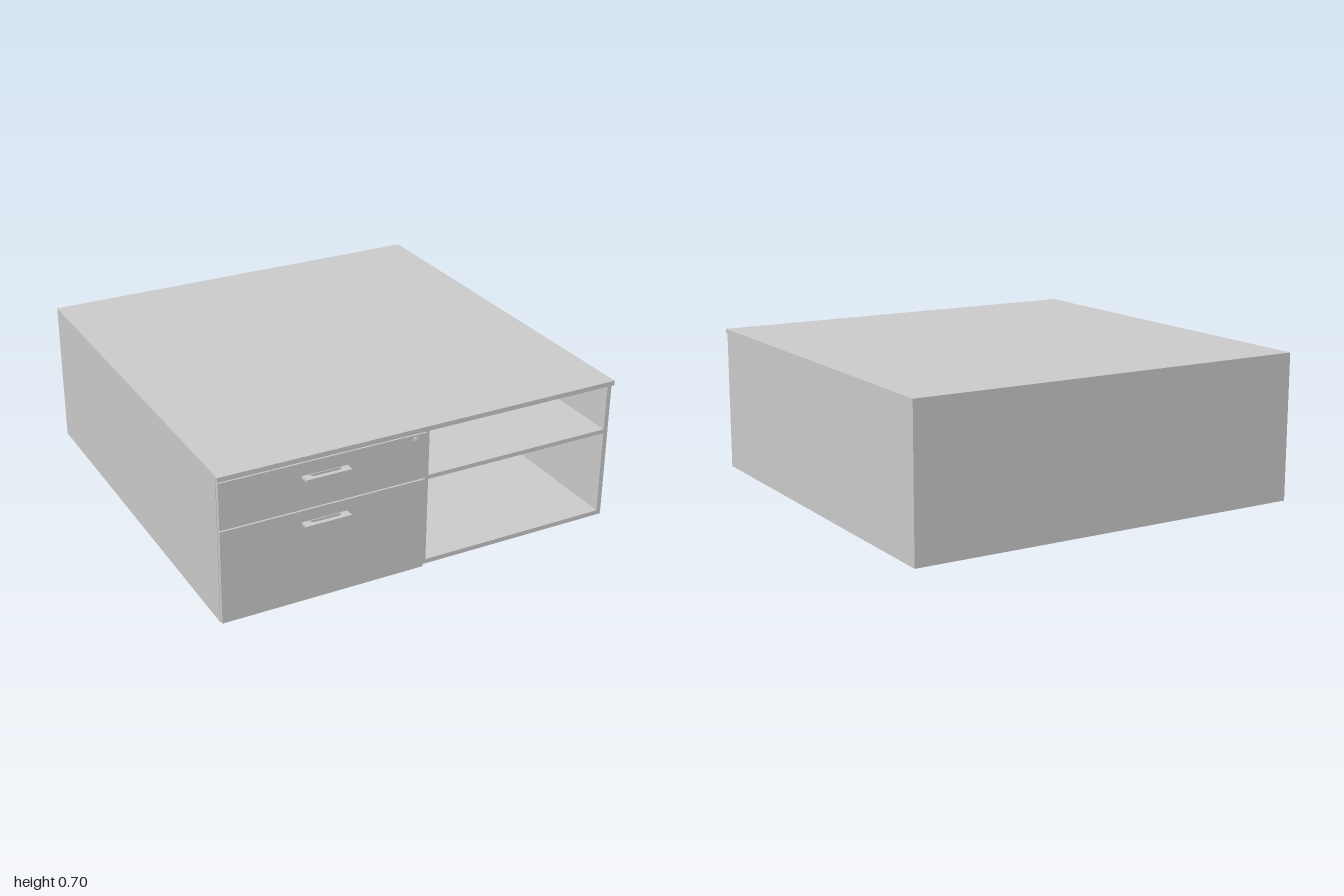
import * as THREE from 'three';

const material = new THREE.MeshStandardMaterial({ color: 0xcccccc });

export function createModel() {
  const model = new THREE.Group();
  model.name = 'lowCabinet';

  const add = (name, geometry, parent = model) => {
    const mesh = new THREE.Mesh(geometry, material);
    mesh.name = name;
    parent.add(mesh);
    return mesh;
  };
  // Box given by its limits on each axis
  const panel = (name, x0, x1, y0, y1, z0, z1, parent) => {
    const mesh = add(name, new THREE.BoxGeometry(x1 - x0, y1 - y0, z1 - z0), parent);
    mesh.position.set((x0 + x1) / 2, (y0 + y1) / 2, (z0 + z1) / 2);
    return mesh;
  };

  const W = 0.977, H = 0.7, T = 0.022, back = -1, front = 0.955, carcass = 0.935;
  const under = H - T;

  // Carcass: a drawer unit and an open unit side by side under one top
  panel('top', -W, W, under, H, back, front);
  for (const [name, x0, x1] of [['drawerUnit', -W, 0], ['openUnit', 0, W]]) {
    const unit = new THREE.Group();
    unit.name = name;
    model.add(unit);
    panel('rightSide', x0, x0 + T, 0, under, back, carcass, unit);
    panel('leftSide', x1 - T, x1, 0, under, back, carcass, unit);
    panel('bottom', x0 + T, x1 - T, 0, T, back, carcass, unit);
    panel('backPanel', x0 + T, x1 - T, T, under, back, back + T, unit);
  }
  panel('shelf', T, W - T, 0.43, 0.45, back + T, carcass);

  // Handle: flat pull with a tapered finger slot
  const pull = new THREE.Shape();
  pull.moveTo(-0.107, 0).lineTo(0.107, 0).lineTo(0.107, 0.042).lineTo(-0.107, 0.042).closePath();
  const slot = new THREE.Path();
  slot.moveTo(-0.078, 0.004).lineTo(-0.06, 0.022).lineTo(0.06, 0.022).lineTo(0.078, 0.004).closePath();
  pull.holes.push(slot);
  const pullGeometry = new THREE.ExtrudeGeometry(pull, { depth: 0.011, bevelEnabled: false });
  pullGeometry.rotateX(Math.PI / 2);

  // Drawer fronts with their handles
  for (const [name, y0, y1, handleY] of [
    ['upperDrawer', 0.453, 0.673, 0.613],
    ['lowerDrawer', 0.004, 0.447, 0.393],
  ]) {
    const drawer = new THREE.Group();
    drawer.name = name;
    model.add(drawer);
    panel('drawerFront', -W + 0.002, -0.004, y0, y1, carcass, front, drawer);
    add('handle', pullGeometry, drawer).position.set(-0.493, handleY, front);
  }

  // Lock: round collar, core and key slot
  const lock = new THREE.Group();
  lock.name = 'lock';
  lock.position.set(-0.055, 0.65, front);
  model.add(lock);
  for (const [name, r, depth] of [['lockCollar', 0.016, 0.006], ['lockCore', 0.011, 0.008]]) {
    const disc = add(name, new THREE.CylinderGeometry(r, r, depth, 24).rotateX(Math.PI / 2), lock);
    disc.position.z = depth / 2;
  }
  panel('keySlot', -0.0015, 0.0015, -0.006, 0.006, 0.007, 0.009, lock);

  return model;
}
